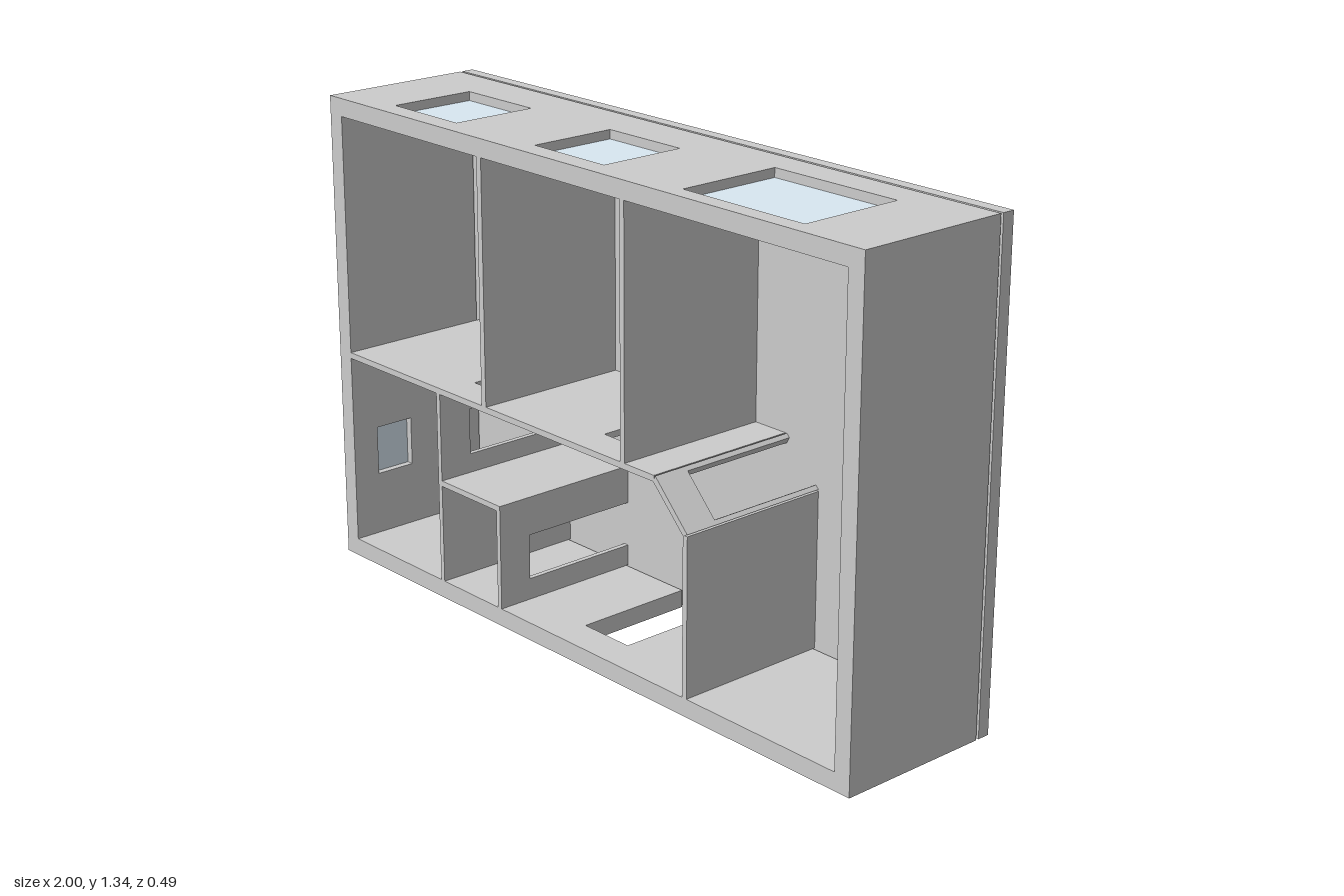
import * as THREE from 'three';

const grey = new THREE.MeshStandardMaterial({ color: 0xcccccc });
const glass = new THREE.MeshStandardMaterial({ color: 0xd9e8f2 });

const FRONT = 0.245, SHELL_BACK = -0.201, PANEL = -0.2095, BACK = -0.245;
const TOP = 1.335, T = 0.05, CEIL = TOP - T;
const STAIR = 0.145; // front end of every passage cut in from the back

const points = (list) => list.map(([x, y]) => new THREE.Vector2(x, y));
const rect = (x0, y0, x1, y1) => [[x0, y0], [x1, y0], [x1, y1], [x0, y1]];

export function createModel() {
  const group = new THREE.Group();

  const add = (name, geometry, material = grey) => {
    const mesh = new THREE.Mesh(geometry, material);
    mesh.name = name;
    group.add(mesh);
  };
  const box = (name, x0, x1, y0, y1, z0, z1, material) => {
    const g = new THREE.BoxGeometry(x1 - x0, y1 - y0, z1 - z0);
    add(name, g.translate((x0 + x1) / 2, (y0 + y1) / 2, (z0 + z1) / 2), material);
  };
  const extrude = (outline, depth, holes = []) => {
    const shape = new THREE.Shape(points(outline));
    holes.forEach((h) => shape.holes.push(new THREE.Path(points(h))));
    return new THREE.ExtrudeGeometry(shape, { depth, bevelEnabled: false });
  };
  // horizontal slab; notches [x0, x1] run in from the back edge, holes are [x0, x1, z0, z1]
  const floorSlab = (name, x0, x1, y0, y1, back, notches = [], holes = []) => {
    const outline = [[x0, -FRONT], [x1, -FRONT], [x1, -back]];
    [...notches].reverse().forEach(([a, b]) =>
      outline.push([b, -back], [b, -STAIR], [a, -STAIR], [a, -back]));
    outline.push([x0, -back]);
    const g = extrude(outline, y1 - y0, holes.map(([a, b, c, d]) => rect(a, -d, b, -c)));
    add(name, g.rotateX(-Math.PI / 2).translate(0, y0, 0));
  };
  // upright wall facing x, with an optional doorway [y0, y1] cut in from the back edge
  const wall = (name, x0, x1, y0, y1, back, door, holes = []) => {
    const outline = [[-FRONT, y0], [-back, y0]];
    if (door) outline.push([-back, door[0]], [-STAIR, door[0]], [-STAIR, door[1]], [-back, door[1]]);
    outline.push([-back, y1], [-FRONT, y1]);
    const g = extrude(outline, x1 - x0, holes.map(([z0, z1, a, b]) => rect(-z1, a, -z0, b)));
    add(name, g.rotateY(Math.PI / 2).translate(x0, 0, 0));
  };

  // outer shell with skylights, side window and floor passage
  const skylights = [[-0.785, -0.52, -0.065, 0.185], [-0.2, 0.065, -0.065, 0.185], [0.36, 0.765, -0.108, 0.195]];
  const sideWindow = [0.046, 0.164, 0.23, 0.37];
  floorSlab('roof', -1, 1, CEIL, TOP, SHELL_BACK, [], skylights);
  floorSlab('baseFloor', -1, 1, 0, T, SHELL_BACK, [[-0.065, 0.103]]);
  wall('leftWall', 1 - T, 1, T, CEIL, SHELL_BACK);
  wall('rightWall', -1, T - 1, T, CEIL, SHELL_BACK, null, [sideWindow]);
  for (const [x0, x1, z0, z1] of skylights) box('skylightGlass', x0, x1, CEIL + 0.015, CEIL + 0.025, z0, z1, glass);
  box('sideWindowGlass', -0.98, -0.97, sideWindow[2], sideWindow[3], sideWindow[0], sideWindow[1], glass);

  // separate back panel with a shallow raised field behind the rooms
  box('backPanel', -1, 1, 0, TOP, BACK, PANEL);
  box('backPanelField', T - 1, 1 - T, T, CEIL, PANEL, PANEL + 0.002);

  // upper storey
  floorSlab('upperFloor', T - 1, 0.315, 0.595, 0.612, PANEL, [[-0.52, -0.363], [0.015, 0.19]]);
  wall('upperPartition', -0.363, -0.345, 0.612, CEIL, PANEL);
  wall('upperPartition', 0.19, 0.206, 0.612, CEIL, PANEL);

  // lower storey with a small chamber
  wall('lowerPartition', -0.56, -0.545, T, 0.595, PANEL, [0.4, 0.53]);
  floorSlab('chamberRoof', -0.545, -0.295, 0.33, 0.346, PANEL);
  wall('chamberWall', -0.31, -0.295, T, 0.33, PANEL, [0.11, 0.237]);
  wall('lowerPartition', 0.421, 0.437, T, 0.487, PANEL);

  // sloped corner: whole at the front, open between two lips behind
  const slope = (name, t0, t1, z0, z1) => {
    const outer = (t) => [0.32 + 0.117 * t, 0.612 - 0.12 * t];
    const inner = (t) => [0.312 + 0.109 * t, 0.595 - 0.11 * t];
    add(name, extrude([inner(t0), inner(t1), outer(t1), outer(t0)], z1 - z0).translate(0, 0, z0));
  };
  slope('slopedCorner', 0, 1, STAIR, FRONT);
  slope('slopeLip', 0, 0.08, PANEL, STAIR);
  slope('slopeLip', 0.92, 1, PANEL, STAIR);

  return group;
}
